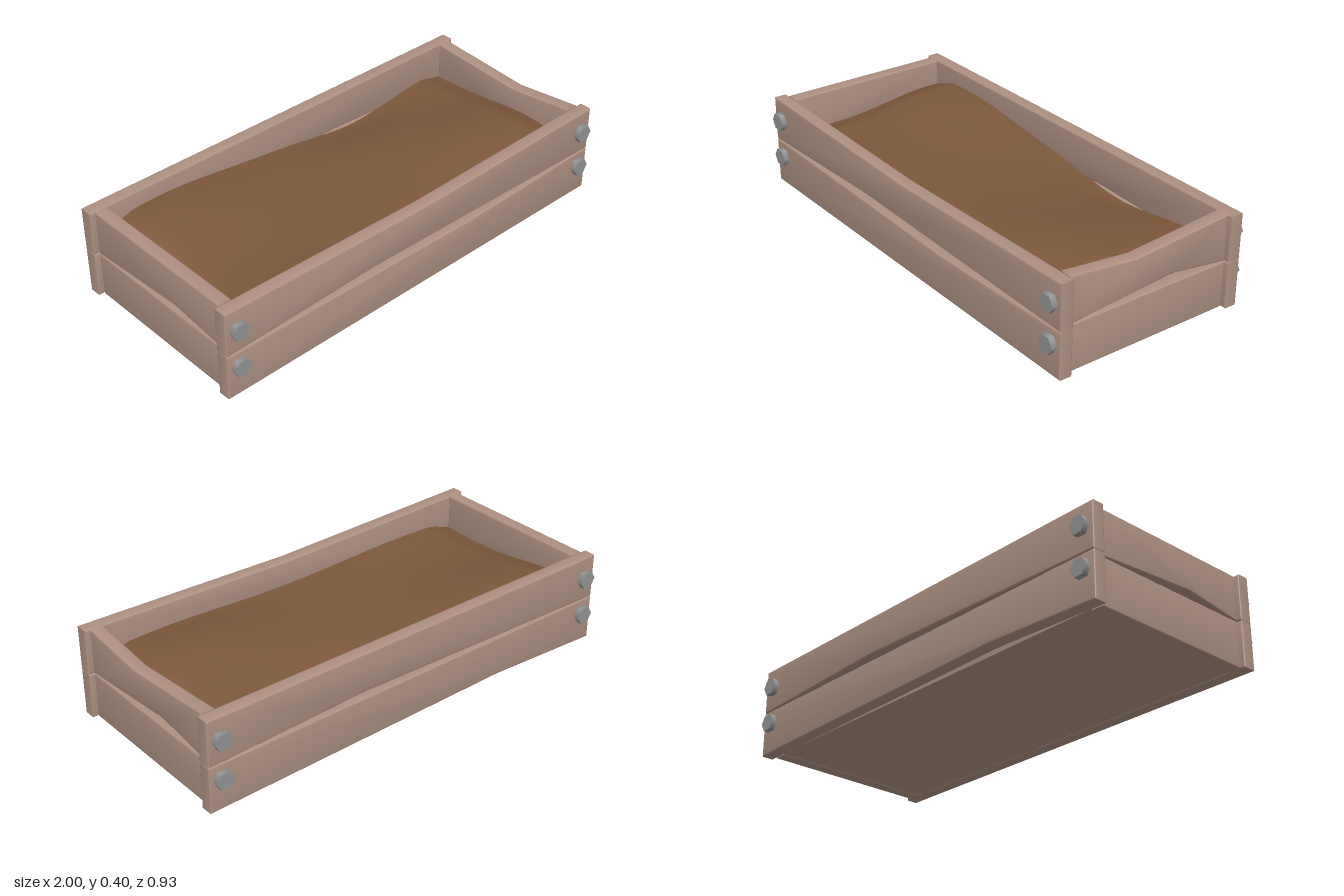
import * as THREE from 'three';
import { toCreasedNormals } from 'three/addons/utils/BufferGeometryUtils.js';

const wood = new THREE.MeshStandardMaterial({ color: 0xad9081 });
wood.name = 'weathered wood';
const earth = new THREE.MeshStandardMaterial({ color: 0x7c583a });
earth.name = 'soil brown';
const steel = new THREE.MeshStandardMaterial({ color: 0x949494 });
steel.name = 'bolt grey';

const THICK = 0.058;
const BEVEL = 0.006;

// Round-edged plank; top and bottom are optional [position, height] kinks in its long edges
function plank(name, half, y0, y1, { top, bottom } = {}) {
  const points = [[-half, y0], bottom, [half, y0], [half, y1], top, [-half, y1]].filter(Boolean);
  const shape = new THREE.Shape(points.map(([u, y]) => new THREE.Vector2(u, y)));
  const geometry = new THREE.ExtrudeGeometry(shape, {
    depth: THICK - 2 * BEVEL, bevelEnabled: true, bevelSegments: 3,
    bevelSize: BEVEL, bevelThickness: BEVEL, bevelOffset: -BEVEL,
  });
  geometry.translate(0, 0, BEVEL - THICK / 2);
  const mesh = new THREE.Mesh(toCreasedNormals(geometry, 0.7), wood);
  mesh.name = name;
  return mesh;
}

// Uneven soil: two mounds, a hollow by the back plank, and sinking ends
function soilHeight(x, z) {
  const bump = (cx, cz, rx, rz) => Math.exp(-(((x - cx) / rx) ** 2) - ((z - cz) / rz) ** 2);
  return 0.265
    + 0.07 * bump(-0.68, -0.32, 0.45, 0.3)
    + 0.055 * bump(0.65, 0.15, 0.4, 0.25)
    + 0.02 * bump(-0.6, 0.4, 0.4, 0.15)
    - 0.055 * bump(0.38, -0.4, 0.3, 0.18)
    - 0.03 * THREE.MathUtils.smoothstep(Math.abs(x), 0.8, 0.925);
}

function createSoil() {
  const geometry = new THREE.BoxGeometry(1.846, 1, 0.764, 48, 1, 24);
  const p = geometry.attributes.position;
  for (let i = 0; i < p.count; i++) {
    p.setY(i, p.getY(i) > 0 ? soilHeight(p.getX(i), p.getZ(i)) : 0.02);
  }
  geometry.computeVertexNormals();
  const mesh = new THREE.Mesh(geometry, earth);
  mesh.name = 'soil';
  return mesh;
}

export function createModel() {
  const bed = new THREE.Group();
  bed.name = 'raisedGardenBed';

  // Long planks
  const sides = [
    plank('frontLowerPlank', 1, 0, 0.2, { top: [0.27, 0.177] }),
    plank('frontUpperPlank', 1, 0.202, 0.4, { top: [0, 0.377], bottom: [-0.27, 0.225] }),
    plank('backLowerPlank', 1, 0, 0.2, { bottom: [-0.45, 0.025] }),
    plank('backUpperPlank', 1, 0.202, 0.4, { bottom: [0.27, 0.23] }),
  ];
  sides.forEach((mesh, i) => {
    mesh.position.z = i < 2 ? 0.409 : -0.409;
    bed.add(mesh);
  });

  // End planks, turned so that the kink position is measured along -z
  const ends = [
    plank('leftLowerPlank', 0.38, 0, 0.2),
    plank('leftUpperPlank', 0.38, 0.202, 0.4, { top: [-0.07, 0.366], bottom: [0.11, 0.242] }),
    plank('rightLowerPlank', 0.38, 0, 0.2),
    plank('rightUpperPlank', 0.38, 0.202, 0.4, { bottom: [-0.11, 0.235] }),
  ];
  ends.forEach((mesh, i) => {
    mesh.rotation.y = Math.PI / 2;
    mesh.position.x = i < 2 ? 0.949 : -0.949;
    bed.add(mesh);
  });

  // Floor and filling
  const floor = new THREE.Mesh(new THREE.BoxGeometry(1.85, 0.02, 0.77), wood);
  floor.name = 'floor';
  floor.position.y = 0.014;
  bed.add(floor, createSoil());

  // Hexagonal bolt heads at every plank end
  const head = new THREE.CylinderGeometry(0.04, 0.04, 0.034, 6);
  head.rotateY(Math.PI / 6);
  head.rotateX(Math.PI / 2);
  for (const x of [-0.943, 0.943]) {
    for (const y of [0.136, 0.307]) {
      for (const z of [-0.446, 0.446]) {
        const bolt = new THREE.Mesh(head, steel);
        bolt.name = 'boltHead';
        bolt.position.set(x, y, z);
        bed.add(bolt);
      }
    }
  }
  return bed;
}
